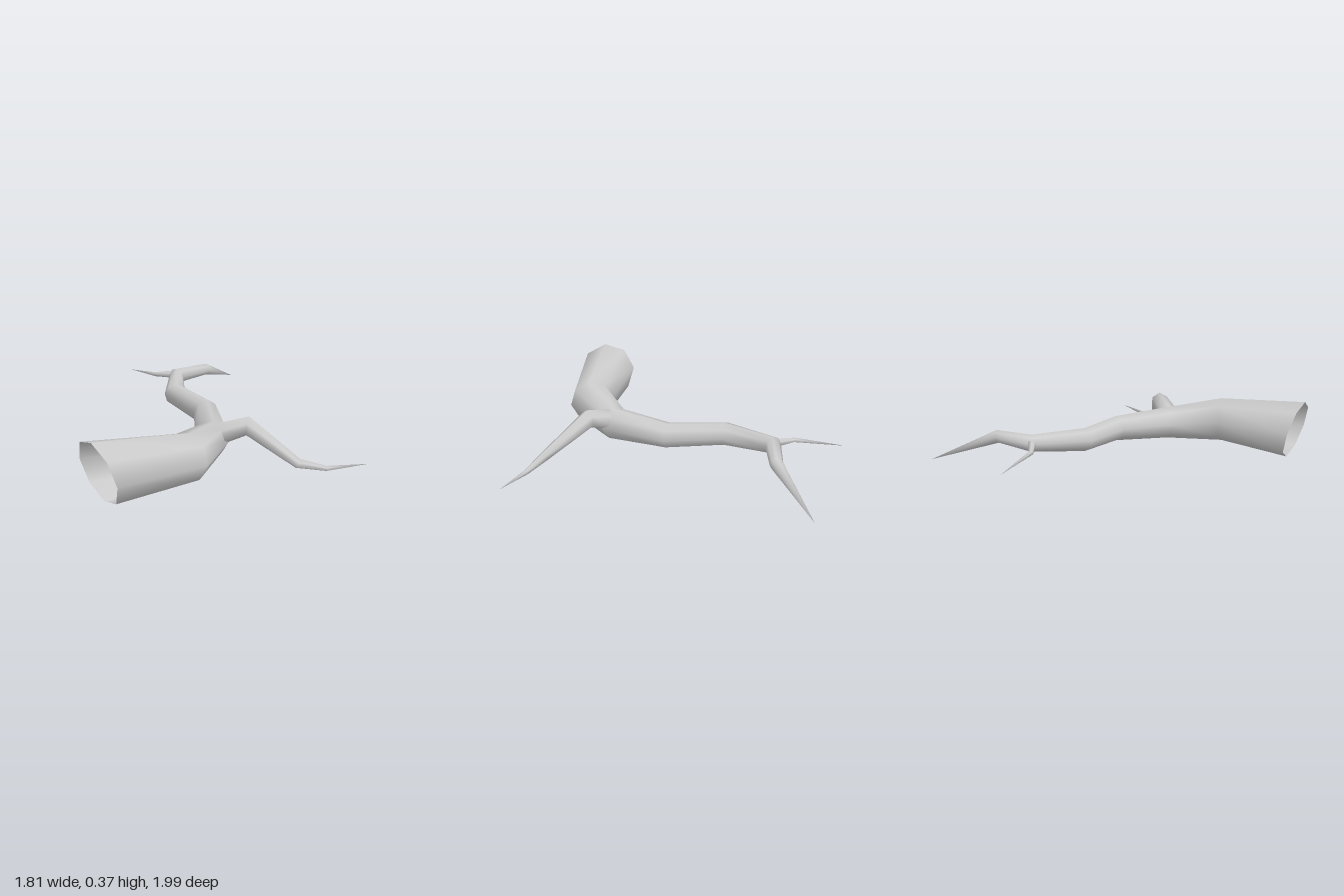
import * as THREE from 'three';

// Tapering limb lofted through rings [x, y, z, radius]; the last entry is the tip.
function limb(name, rings, sides, material, startDir, twist = 0) {
  const centres = rings.map(([x, y, z]) => new THREE.Vector3(x, y, z));
  const dirs = centres.slice(1).map((c, i) => c.clone().sub(centres[i]).normalize());
  const last = rings.length - 1;
  const positions = [];
  const index = [];

  for (let i = 0; i < last; i++) {
    const tangent = i === 0 ? (startDir || dirs[0]).clone() : dirs[i - 1].clone().add(dirs[i]);
    tangent.normalize();
    const side = new THREE.Vector3().crossVectors(tangent, new THREE.Vector3(0, 1, 0)).normalize();
    const up = new THREE.Vector3().crossVectors(side, tangent);
    for (let j = 0; j < sides; j++) {
      const a = twist + (j / sides) * Math.PI * 2;
      const p = centres[i].clone()
        .addScaledVector(up, Math.cos(a) * rings[i][3])
        .addScaledVector(side, Math.sin(a) * rings[i][3]);
      positions.push(p.x, p.y, p.z);
    }
  }
  positions.push(...centres[last].toArray());

  // Walls between rings, then a fan to the tip
  for (let i = 0; i < last; i++) {
    for (let j = 0; j < sides; j++) {
      const a = i * sides + j;
      const b = i * sides + ((j + 1) % sides);
      if (i === last - 1) index.push(a, b, last * sides);
      else index.push(a, b, b + sides, a, b + sides, a + sides);
    }
  }

  const geometry = new THREE.BufferGeometry();
  geometry.setAttribute('position', new THREE.Float32BufferAttribute(positions, 3));
  geometry.setIndex(index);
  geometry.computeVertexNormals();
  const mesh = new THREE.Mesh(geometry, material);
  mesh.name = name;
  return mesh;
}

export function createModel() {
  const bark = new THREE.MeshStandardMaterial({ color: 0xcccccc, side: THREE.DoubleSide });
  bark.name = 'bark';

  const group = new THREE.Group();
  group.name = 'branch';

  // Main bough, open at its broken end
  group.add(limb('mainBough', [
    [-0.865, 0.19, 0.67, 0.19],
    [-0.325, 0.17, 0.67, 0.143],
    [-0.03, 0.152, 0.445, 0.104],
    [0.137, 0.17, 0.09, 0.08],
    [0.115, 0.19, -0.27, 0.072],
    [0.29, 0.212, -0.565, 0.053],
    [0.54, 0.217, -0.59, 0.04],
    [0.9, 0.06, -0.81],
  ], 8, bark, new THREE.Vector3(0.97, 0.24, -0.1), 0.1));

  // Drooping twig towards the front
  group.add(limb('frontTwig', [
    [-0.012, 0.19, 0.5, 0.066],
    [0.12, 0.245, 0.592, 0.06],
    [0.31, 0.06, 0.835, 0.031],
    [0.46, 0.025, 0.91, 0.016],
    [0.7, 0.035, 0.995],
  ], 6, bark));

  // Thin twig at the back fork
  group.add(limb('backTwig', [
    [0.27, 0.22, -0.585, 0.026],
    [0.185, 0.205, -0.69, 0.015],
    [0.148, 0.165, -0.995],
  ], 6, bark));

  return group;
}
